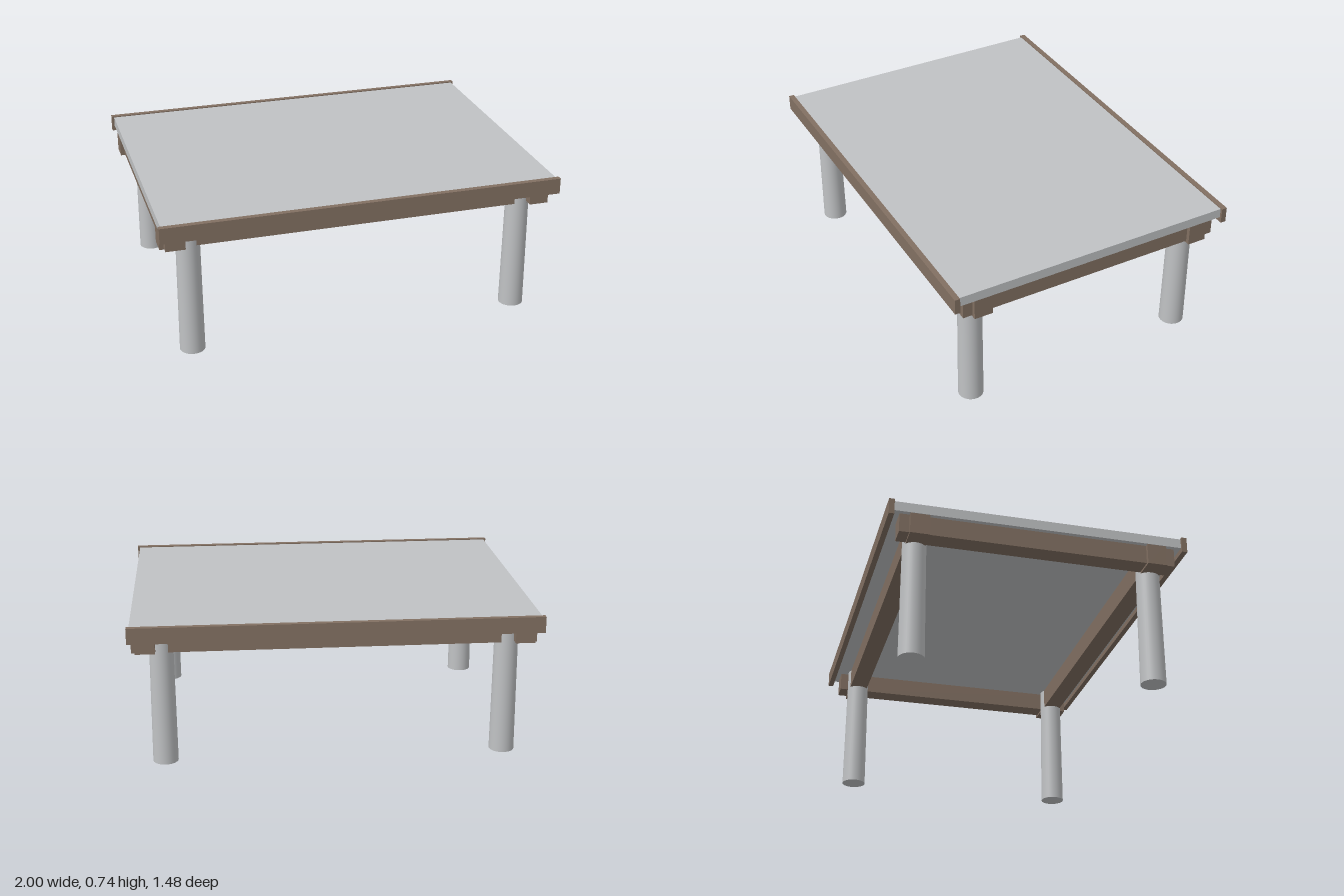
import * as THREE from 'three';

export function createModel() {
  const wood = new THREE.MeshStandardMaterial({ name: 'brown wood', color: 0x827062 });
  const grey = new THREE.MeshStandardMaterial({ name: 'light grey', color: 0xc0c2c4 });
  const model = new THREE.Group();
  model.name = 'table';

  const add = (name, geometry, material, x, y, z) => {
    const mesh = new THREE.Mesh(geometry, material);
    mesh.name = name;
    mesh.position.set(x, y, z);
    model.add(mesh);
  };
  // Box given by its size, bottom height and centre
  const box = (name, material, w, h, d, x, bottom, z) =>
    add(name, new THREE.BoxGeometry(w, h, d), material, x, bottom + h / 2, z);

  // Flat top slab
  box('topSlab', grey, 1.976, 0.049, 1.43, 0, 0.686, 0);

  for (const s of [1, -1]) {
    const side = s > 0 ? 'front' : 'back';
    // Edge boards along the two long sides of the slab
    box(side + 'EdgeBoard', wood, 2, 0.08, 0.027, 0, 0.66, s * 0.7275);
    // Long beams under the slab, running past the cross beams
    box(side + 'Beam', wood, 1.972, 0.106, 0.095, 0, 0.58, s * 0.5875);
    // Cross beams lapped with the long beams
    box(s > 0 ? 'leftCrossBeam' : 'rightCrossBeam', wood, 0.096, 0.096, 1.368, s * 0.918, 0.59, 0);

    // Round, slightly tapered legs at the beam crossings
    for (const t of [1, -1]) {
      add(side + (t > 0 ? 'Left' : 'Right') + 'Leg',
        new THREE.CylinderGeometry(0.0575, 0.0625, 0.687, 32), grey,
        t * 0.843, 0.3435, s * 0.5875);
    }
  }
  return model;
}
